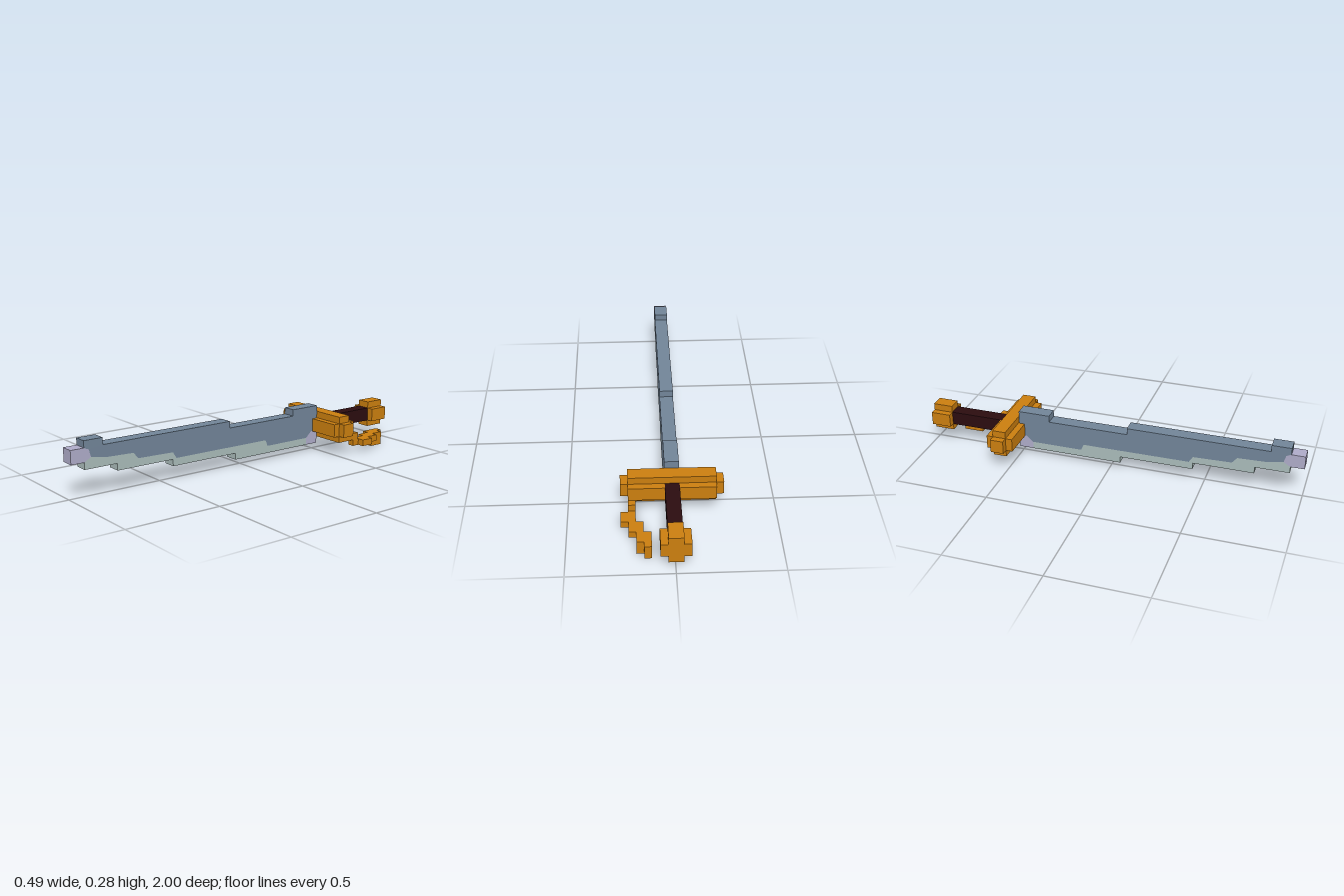
import * as THREE from 'three';

const paint = (name, color) => {
  const m = new THREE.MeshStandardMaterial({ color });
  m.name = name;
  return m;
};

export function createModel() {
  const steel = paint('blue steel', 0x718498);
  const edge = paint('pale edge steel', 0xa9bbb9);
  const lilac = paint('lilac steel', 0xaeabc8);
  const brass = paint('brass', 0xca7e0f);
  const leather = paint('dark leather', 0x2b0c0f);

  const sword = new THREE.Group();
  sword.name = 'sword';

  // Box given by its limits on each axis
  const box = (parent, name, mat, [x0, x1], [y0, y1], [z0, z1]) => {
    const mesh = new THREE.Mesh(new THREE.BoxGeometry(x1 - x0, y1 - y0, z1 - z0), mat);
    mesh.position.set((x0 + x1) / 2, (y0 + y1) / 2, (z0 + z1) / 2);
    mesh.name = name;
    parent.add(mesh);
  };
  const group = (name) => {
    const g = new THREE.Group();
    g.name = name;
    sword.add(g);
    return g;
  };

  // Blade: side outlines (z, y) extruded across the thickness
  const blade = group('blade');
  const slab = (name, mat, points) => {
    const shape = new THREE.Shape(points.map(([z, y]) => new THREE.Vector2(z, y)));
    const geo = new THREE.ExtrudeGeometry(shape, { depth: 0.07, bevelEnabled: false });
    geo.translate(0, 0, -0.035).rotateY(-Math.PI / 2);
    const mesh = new THREE.Mesh(geo, mat);
    mesh.name = name;
    blade.add(mesh);
  };
  // line where the body colour meets the sharpened edge, heel to tip
  const seam = [
    [-0.505, 0.107], [-0.465, 0.107], [-0.43, 0.075], [-0.16, 0.075], [-0.145, 0.108],
    [0.42, 0.11], [0.44, 0.142], [0.64, 0.147], [0.665, 0.178], [0.82, 0.183], [0.895, 0.198],
  ];
  slab('bladeBody', steel, [
    ...seam, [0.905, 0.235], [0.93, 0.246], [0.93, 0.281], [0.83, 0.281], [0.83, 0.246],
    [0.09, 0.246], [0.09, 0.211], [-0.335, 0.211], [-0.335, 0.246], [-0.505, 0.246],
  ]);
  slab('bladeEdge', edge, [
    [-0.43, 0.037], [0.055, 0.037], [0.055, 0.071], [0.44, 0.071], [0.44, 0.106],
    [0.755, 0.106], [0.755, 0.141], [0.93, 0.141], [0.93, 0.176],
    ...seam.slice(2).reverse(),
  ]);
  slab('bladeTip', lilac, [
    [0.93, 0.176], [1, 0.176], [1, 0.246], [0.93, 0.246], [0.905, 0.235], [0.895, 0.198],
  ]);
  slab('bladeHeel', lilac, [
    [-0.505, 0.037], [-0.43, 0.037], [-0.43, 0.075], [-0.465, 0.107], [-0.505, 0.107],
  ]);

  // Crossguard with a plus-shaped section and stub ends
  const guard = group('crossguard');
  box(guard, 'guardBar', brass, [-0.21, 0.21], [0.106, 0.176], [-0.615, -0.475]);
  box(guard, 'guardRidge', brass, [-0.21, 0.21], [0.071, 0.212], [-0.58, -0.51]);
  box(guard, 'guardEnds', brass, [-0.246, 0.246], [0.106, 0.176], [-0.58, -0.51]);

  // Grip, set slightly proud of the guard
  box(sword, 'grip', leather, [-0.035, 0.035], [0.105, 0.177], [-0.9, -0.581]);

  // Pommel
  const pommel = group('pommel');
  box(pommel, 'pommelWide', brass, [-0.07, 0.07], [0.106, 0.176], [-1, -0.895]);
  box(pommel, 'pommelTall', brass, [-0.035, 0.035], [0.071, 0.212], [-1, -0.895]);

  // Stepped knuckle bow on the left side
  const bow = group('knuckleBow');
  [
    [[0.175, 0.21], [0.071, 0.107], [-0.65, -0.575]],
    [[0.175, 0.21], [0.037, 0.071], [-0.655, -0.615]],
    [[0.175, 0.246], [0.037, 0.071], [-0.725, -0.655]],
    [[0.14, 0.21], [0.037, 0.071], [-0.795, -0.725]],
    [[0.105, 0.175], [0, 0.037], [-0.865, -0.79]],
    [[0.105, 0.175], [0.037, 0.071], [-0.865, -0.795]],
    [[0.105, 0.14], [0, 0.071], [-0.897, -0.865]],
  ].forEach((limits, i) => box(bow, `bowStep${i + 1}`, brass, ...limits));

  return sword;
}
